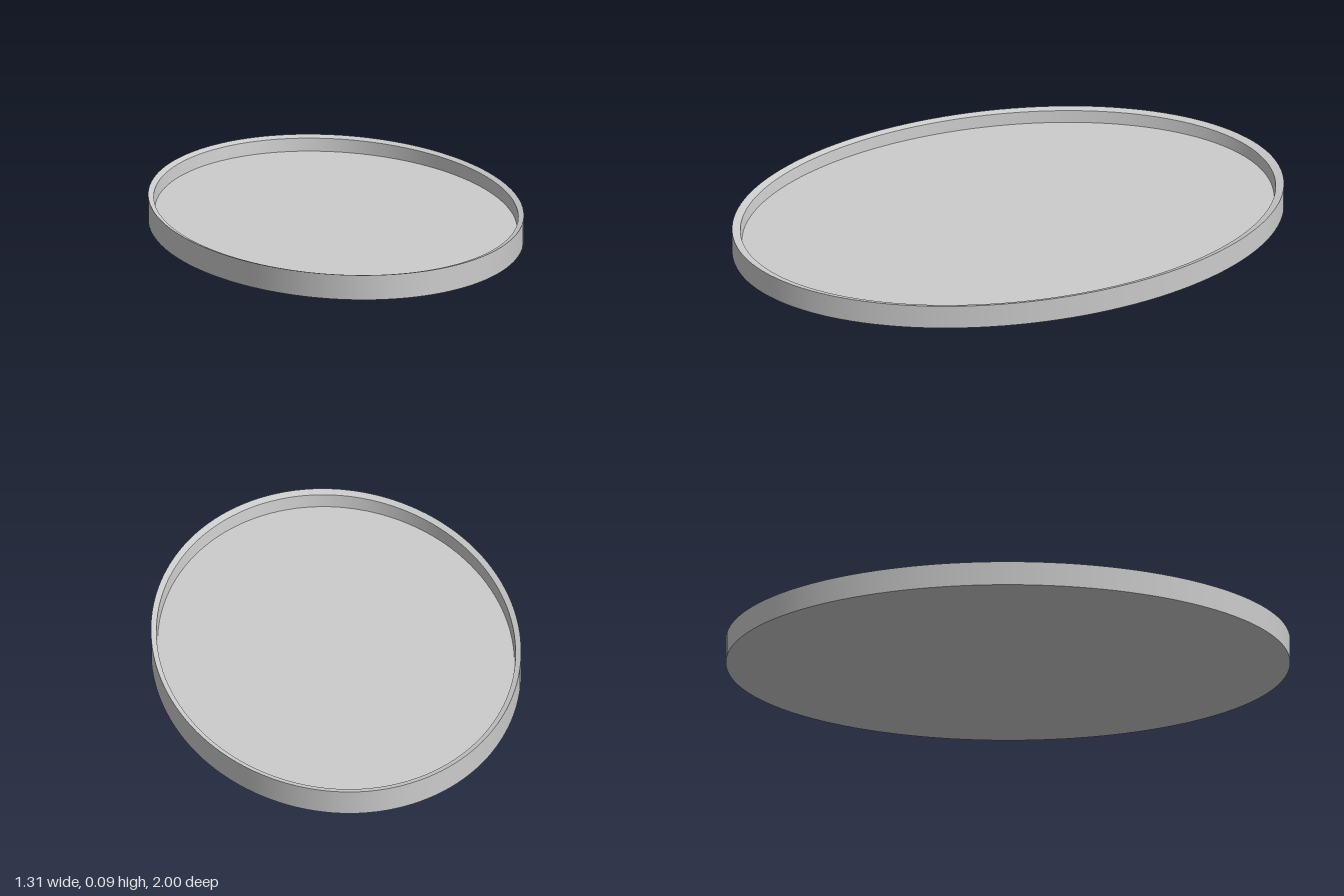
import * as THREE from 'three';

// Shallow oval tray: each part is a lathed band squeezed into an ellipse.
export function createModel() {
  const group = new THREE.Group();
  group.name = 'ovalTray';
  const material = new THREE.MeshStandardMaterial({ color: 0xcccccc });
  const halfWidth = 0.653; // half width for a half length of 1

  // Separate bands keep the edges between them sharp.
  function band(name, from, to) {
    const points = [new THREE.Vector2(...from), new THREE.Vector2(...to)];
    const geometry = new THREE.LatheGeometry(points, 128);
    geometry.scale(halfWidth, 1, 1);
    const mesh = new THREE.Mesh(geometry, material);
    mesh.name = name;
    group.add(mesh);
  }

  // Profile as [radius, height], from the centre below to the centre above
  const profile = [[0, 0], [1, 0], [1, 0.09], [0.97, 0.083], [0.964, 0.037], [0, 0.037]];
  const names = ['underside', 'outerWall', 'rim', 'innerWall', 'trayFloor'];
  names.forEach((name, i) => band(name, profile[i], profile[i + 1]));

  return group;
}
